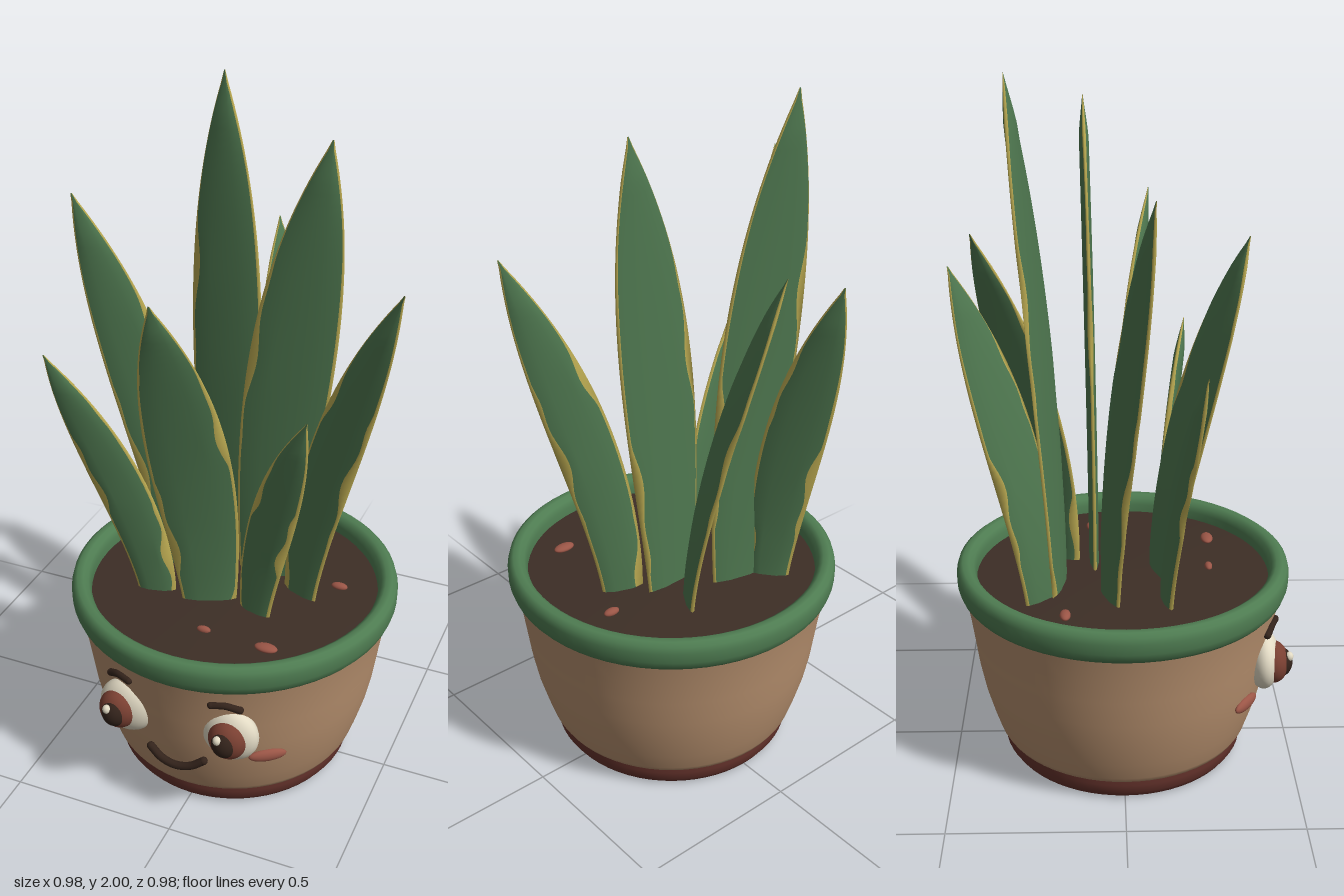
import * as THREE from 'three';

const mat = (name, color, extra = {}) => {
  const m = new THREE.MeshStandardMaterial({ color, ...extra });
  m.name = name;
  return m;
};

export function createModel() {
  const group = new THREE.Group();
  const clay = mat('clay', 0xb8916f);
  const rimGreen = mat('rimGreen', 0x4f7d52);
  const leafGreen = mat('leafGreen', 0x4f7850);
  const leafYellow = mat('leafYellow', 0xbcab52);
  const soilBrown = mat('soilBrown', 0x3d2e26);
  const footRed = mat('footRed', 0x66332c);
  const blush = mat('blush', 0x9a5546);
  const cream = mat('cream', 0xe2dac4);
  const dark = mat('dark', 0x33231b);
  const irisBrown = mat('irisBrown', 0x7a4032);

  const add = (name, geometry, material, parent = group) => {
    const mesh = new THREE.Mesh(geometry, material);
    mesh.name = name;
    parent.add(mesh);
    return mesh;
  };
  const lathe = (name, pts, material) =>
    add(name, new THREE.LatheGeometry(pts.map(p => new THREE.Vector2(...p)), 64), material);
  const ball = (name, pos, size, material, parent = group) => {
    const mesh = add(name, new THREE.SphereGeometry(1, 28, 20), material, parent);
    mesh.position.set(...pos);
    mesh.scale.set(...size);
    return mesh;
  };

  // Pot
  lathe('foot', [[0, 0], [0.32, 0], [0.345, 0.006], [0.358, 0.025], [0.362, 0.05], [0.362, 0.075]], footRed);
  lathe('potBody', [[0.35, 0.066], [0.368, 0.068], [0.378, 0.085], [0.396, 0.14], [0.416, 0.21], [0.432, 0.29],
    [0.443, 0.37], [0.453, 0.44], [0.464, 0.5], [0.472, 0.54]], clay);
  lathe('rim', [[0.455, 0.515], [0.47, 0.513], [0.48, 0.525], [0.487, 0.545], [0.488, 0.575], [0.483, 0.594],
    [0.47, 0.604], [0.452, 0.604], [0.438, 0.594], [0.43, 0.575], [0.43, 0.54]], rimGreen);
  lathe('soil', [[0.44, 0.55], [0.3, 0.555], [0.15, 0.559], [0, 0.56]], soilBrown);

  // Pebbles: x, z, radius
  for (const [x, z, r] of [[-0.285, -0.165, 0.028], [0.3, -0.095, 0.025], [0.01, 0.255, 0.021], [0.205, 0.265, 0.034]])
    ball('pebble', [x, 0.558, z], [r, 0.011, r * 0.55], blush);

  // Face
  for (const [side, x, gaze] of [['right', -0.165, -0.018], ['left', 0.155, 0.004]]) {
    const eye = new THREE.Group();
    eye.name = side + 'Eye';
    eye.position.set(x, 0.345, 0.405);
    group.add(eye);
    ball('eyeball', [0, 0, 0], [0.086, 0.087, 0.048], cream, eye);
    ball('iris', [gaze, 0, 0.028], [0.057, 0.062, 0.044], irisBrown, eye);
    ball('pupil', [gaze - 0.002, 0, 0.042], [0.04, 0.046, 0.041], dark, eye);
    ball('glint', [gaze - 0.014, 0.024, 0.071], [0.013, 0.014, 0.012], cream, eye);
    const sgn = Math.sign(x);
    const cheek = ball(side + 'Cheek', [sgn * 0.247, 0.247, 0.349], [0.056, 0.02, 0.014], blush);
    cheek.rotation.y = sgn * 0.62;
  }
  const stroke = (name, pts, r) => {
    const curve = new THREE.CatmullRomCurve3(pts.map(p => new THREE.Vector3(...p)));
    add(name, new THREE.TubeGeometry(curve, 24, r, 10), dark);
    for (const p of [pts[0], pts[pts.length - 1]]) ball(name + 'End', p, [r, r, r], dark);
  };
  stroke('rightBrow', [[-0.214, 0.448, 0.408], [-0.18, 0.464, 0.424], [-0.142, 0.462, 0.438]], 0.011);
  stroke('leftBrow', [[0.114, 0.462, 0.444], [0.15, 0.464, 0.434], [0.19, 0.448, 0.418]], 0.011);
  stroke('mouth', [[-0.087, 0.228, 0.424], [-0.05, 0.203, 0.432], [-0.004, 0.194, 0.436],
    [0.042, 0.203, 0.432], [0.08, 0.228, 0.424]], 0.012);

  // Leaf: lens-shaped cross-sections with an uneven yellow margin
  const leaf = (name, seed, [bx, bz, tx, ty, tz, width, angle]) => {
    const rows = 48, by = 0.535, ring = 10, pos = [], green = [], yellow = [];
    const c = Math.cos(angle), s = Math.sin(angle);
    const margin = (t, k) => {
      const wave = Math.sin(t * 9 + seed * 2.3 + k * 2.6) + 0.45 * Math.sin(t * 31 + seed + k);
      const fade = 1 - THREE.MathUtils.smoothstep(t, 0.6, 0.85);
      return 0.004 + fade * (0.004 + 0.014 * Math.max(0, wave));
    };
    for (let i = 0; i <= rows; i++) {
      const t = i / rows, bend = Math.pow(t, 1.5);
      const half = Math.max(0.002, 0.53 * width * (0.62 + 0.9 * t) * (1 - Math.pow(t, 2.8)));
      const l = Math.min(0.45, margin(t, 0) / half), r = Math.min(0.45, margin(t, 1) / half);
      const us = [-1, -1 + l, -0.4, 0.4, 1 - r, 1, 1 - r, 0.4, -0.4, -1 + l];
      us.forEach((u, j) => {
        const face = j === 0 || j === 5 ? 0 : j < 5 ? 1 : -1;
        const h = face * (0.003 + 0.012 * (1 - u * u)) * Math.min(1, half / 0.04);
        pos.push(bx + (tx - bx) * bend + u * half * c - h * s,
          by + (ty - by) * t,
          bz + (tz - bz) * bend + u * half * s + h * c);
      });
    }
    for (let i = 0; i < rows; i++) for (let j = 0; j < ring; j++) {
      const k = (j + 1) % ring, a = i * ring + j, b = i * ring + k;
      ([0, 4, 5, 9].includes(j) ? yellow : green).push(a, b, b + ring, a, b + ring, a + ring);
    }
    const g = new THREE.BufferGeometry();
    g.setAttribute('position', new THREE.Float32BufferAttribute(pos, 3));
    g.setIndex([...green, ...yellow]);
    g.addGroup(0, green.length, 0);
    g.addGroup(green.length, yellow.length, 1);
    g.computeVertexNormals();
    add(name, g, [leafGreen, leafYellow]);
  };

  // Base x, z; tip x, y, z; width; turn of the blade
  const leaves = {
    backTallLeaf: [-0.1, -0.185, -0.155, 2.0, -0.3, 0.25, 0.2],
    backShortLeaf: [-0.18, -0.23, -0.19, 1.52, -0.455, 0.18, 0.85],
    backSideLeaf: [0.09, -0.185, -0.03, 1.57, -0.41, 0.2, -1.02],
    middleTallLeaf: [0.07, -0.085, 0.225, 1.905, -0.107, 0.26, -0.04],
    rightTallLeaf: [-0.18, -0.04, -0.44, 1.735, 0.07, 0.2, -0.38],
    leftTallLeaf: [0.2, -0.02, 0.488, 1.6, 0.087, 0.18, 0.38],
    rightShortLeaf: [-0.2, 0.12, -0.485, 1.31, 0.2, 0.17, -0.2],
    frontLeaf: [-0.035, 0.11, -0.09, 1.575, 0.336, 0.235, -0.38],
    leftShortLeaf: [0.11, 0.115, 0.28, 1.25, 0.188, 0.155, 0.25],
  };
  Object.entries(leaves).forEach(([name, data], i) => leaf(name, i + 1, data));

  return group;
}
